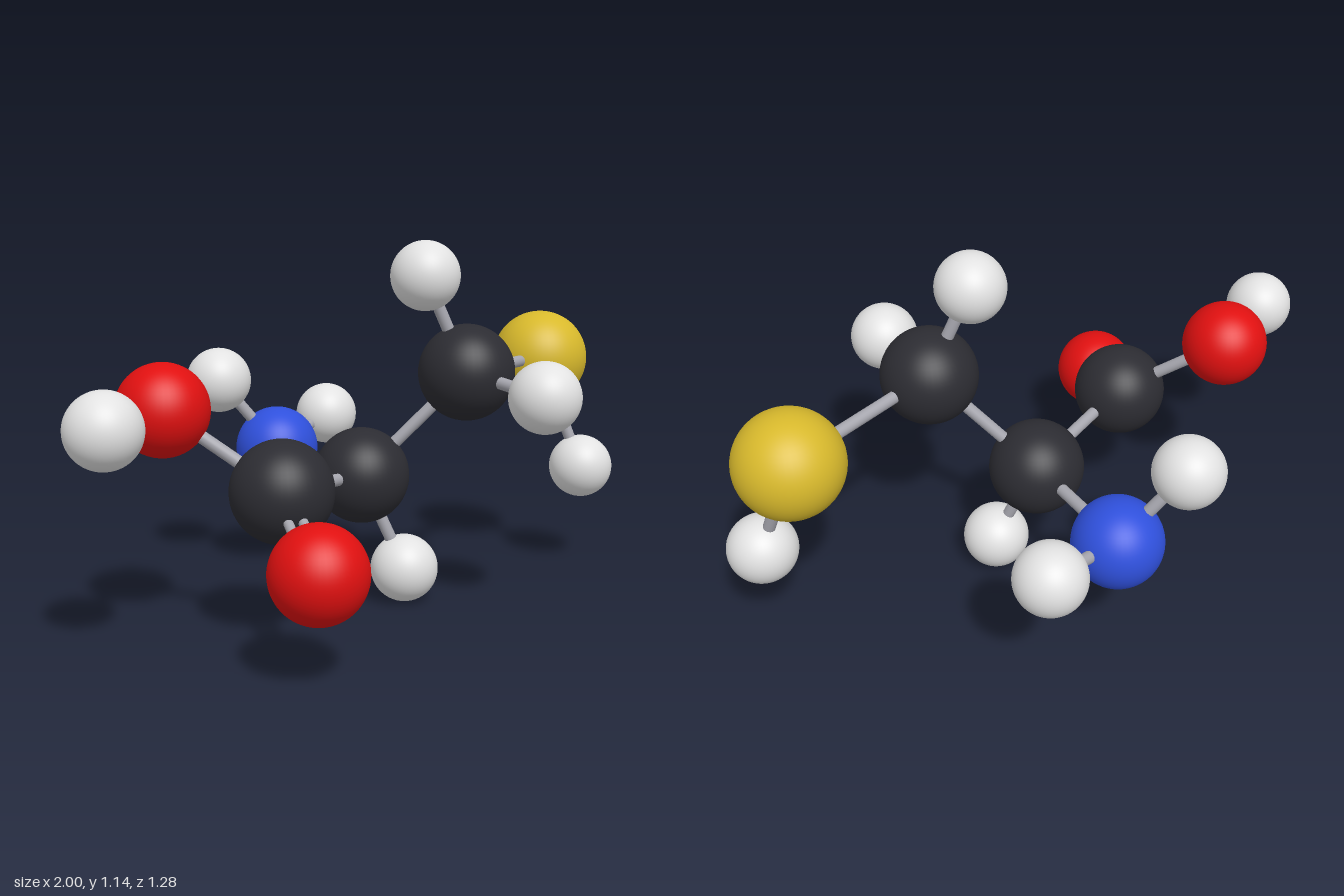
import * as THREE from 'three';

const mat = (name, color) => {
  const m = new THREE.MeshStandardMaterial({ color });
  m.name = name;
  return m;
};

export function createModel() {
  const model = new THREE.Group();
  model.name = 'molecule';

  // Atom kinds: radius and colour
  const kinds = {
    carbon: { r: 0.15, m: mat('charcoal', 0x2c2c32) },
    hydrogen: { r: 0.107, m: mat('white', 0xe2e2e2) },
    oxygen: { r: 0.135, m: mat('red', 0xe01010) },
    nitrogen: { r: 0.138, m: mat('blue', 0x2f50dc) },
    sulfur: { r: 0.16, m: mat('yellow', 0xd8b92c) },
  };
  const bondMat = mat('bondGrey', 0xa6a6ae);

  // Atoms: kind and centre
  const atoms = {
    acidCarbon: ['carbon', -0.397, 0.455, 0.155],
    middleCarbon: ['carbon', 0.035, 0.412, -0.002],
    sideCarbon: ['carbon', 0.287, 0.736, 0.203],
    hydroxylOxygen: ['oxygen', -0.633, 0.683, -0.082],
    doubleOxygen: ['oxygen', -0.523, 0.315, 0.473],
    nitrogen: ['nitrogen', 0.04, 0.432, -0.447],
    sulfur: ['sulfur', 0.811, 0.724, 0.046],
    hydroxylHydrogen: ['hydrogen', -0.894, 0.676, 0.053],
    sulfurHydrogen: ['hydrogen', 0.889, 0.35, 0.178],
    sideHydrogenTop: ['hydrogen', 0.168, 1.035, 0.139],
    sideHydrogenFront: ['hydrogen', 0.276, 0.697, 0.531],
    middleHydrogen: ['hydrogen', 0.139, 0.11, 0.086],
    amineHydrogenRight: ['hydrogen', -0.136, 0.67, -0.531],
    amineHydrogenLeft: ['hydrogen', 0.329, 0.505, -0.534],
  };
  const at = {};
  for (const [name, [kind, x, y, z]] of Object.entries(atoms)) {
    const { r, m } = kinds[kind];
    const ball = new THREE.Mesh(new THREE.SphereGeometry(r, 48, 32), m);
    ball.name = name;
    ball.position.set(x, y, z);
    at[name] = ball.position;
    model.add(ball);
  }

  // Rod between two points
  const up = new THREE.Vector3(0, 1, 0);
  const rod = (a, b, r) => {
    const d = b.clone().sub(a);
    const mesh = new THREE.Mesh(new THREE.CylinderGeometry(r, r, d.length(), 20), bondMat);
    mesh.name = 'bond';
    mesh.position.copy(a).add(b).multiplyScalar(0.5);
    mesh.quaternion.setFromUnitVectors(up, d.normalize());
    model.add(mesh);
  };

  // Single bonds
  const bonds = [
    ['acidCarbon', 'middleCarbon'], ['acidCarbon', 'hydroxylOxygen'],
    ['hydroxylOxygen', 'hydroxylHydrogen'], ['middleCarbon', 'sideCarbon'],
    ['middleCarbon', 'nitrogen'], ['middleCarbon', 'middleHydrogen'],
    ['sideCarbon', 'sulfur'], ['sideCarbon', 'sideHydrogenTop'],
    ['sideCarbon', 'sideHydrogenFront'], ['sulfur', 'sulfurHydrogen'],
    ['nitrogen', 'amineHydrogenRight'], ['nitrogen', 'amineHydrogenLeft'],
  ];
  for (const [a, b] of bonds) rod(at[a], at[b], 0.019);

  // Double bond: two thinner rods side by side
  const a = at.acidCarbon, b = at.doubleOxygen;
  const side = b.clone().sub(a).cross(up).normalize();
  for (const s of [-0.021, 0.021]) {
    rod(a.clone().addScaledVector(side, s), b.clone().addScaledVector(side, s), 0.014);
  }

  return model;
}
